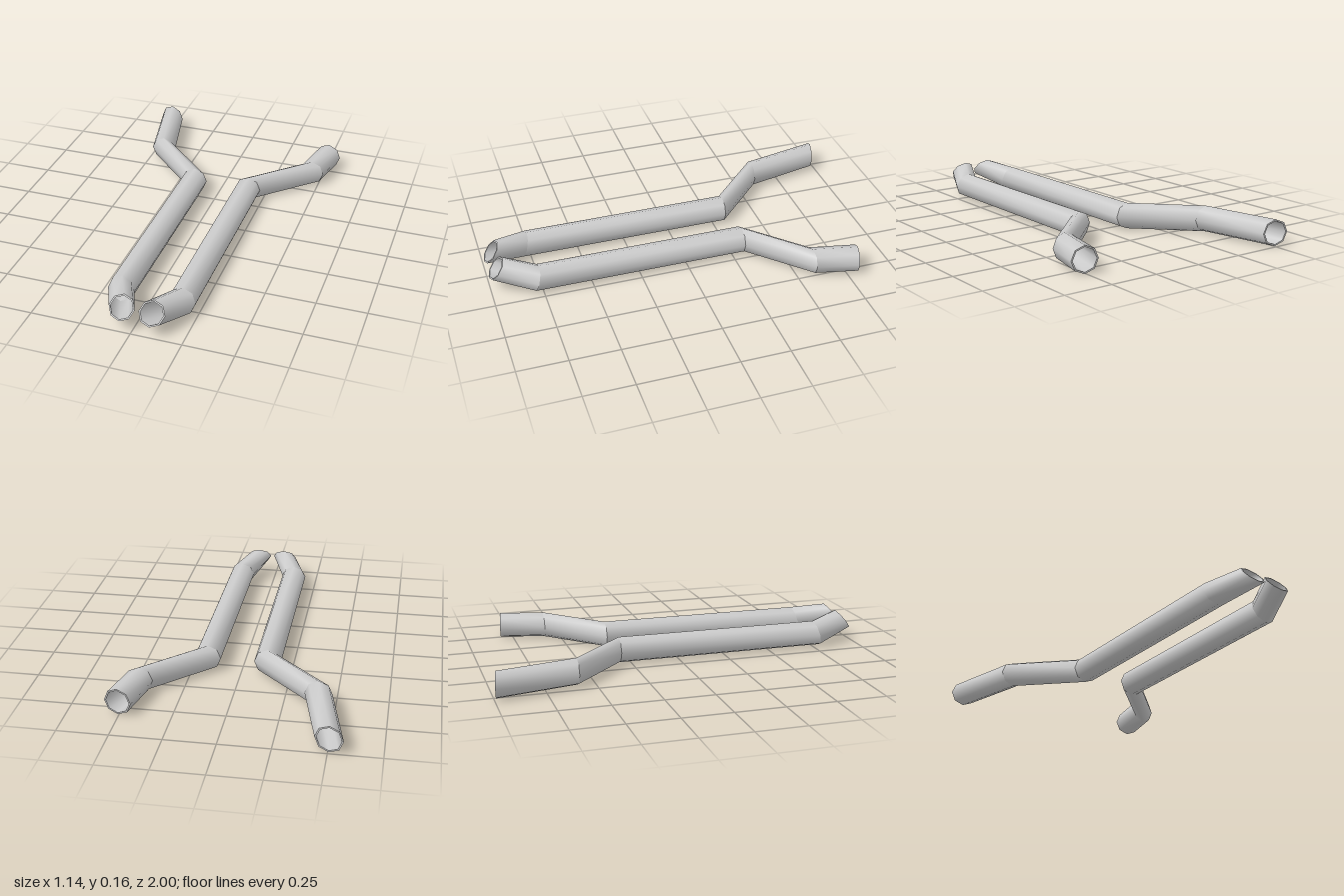
import * as THREE from 'three';

const SIDES = 8;
const RADIUS = 0.067;
const BORE = 0.88; // inner size relative to the outer

// One octagonal ring: centre plus its sideways and upward half-axes
function ring({ at, side = [RADIUS, 0, 0], up = [0, RADIUS, 0] }, scale = 1) {
  return Array.from({ length: SIDES }, (_, j) => {
    const a = (j / SIDES) * Math.PI * 2;
    const c = Math.cos(a) * scale, s = Math.sin(a) * scale;
    return at.map((v, k) => v + side[k] * c + up[k] * s);
  });
}

// Band of faces between two rings, smooth around and creased at its ends
function band(name, a, b, material) {
  const geometry = new THREE.BufferGeometry();
  geometry.setAttribute('position', new THREE.Float32BufferAttribute([...a, ...b].flat(), 3));
  const index = [];
  for (let j = 0; j < SIDES; j++) {
    const n = (j + 1) % SIDES;
    index.push(j, SIDES + j, n, n, SIDES + j, SIDES + n);
  }
  geometry.setIndex(index);
  geometry.computeVertexNormals();
  const mesh = new THREE.Mesh(geometry, material);
  mesh.name = name;
  return mesh;
}

// Hollow pipe through a list of rings running from front to back
function pipe(name, stations, material) {
  const group = new THREE.Group();
  group.name = name;
  const outer = stations.map((s) => ring(s));
  const inner = stations.map((s) => ring(s, BORE));
  const last = stations.length - 1;
  for (let i = 0; i < last; i++) {
    group.add(band('outerWall', outer[i], outer[i + 1], material));
    group.add(band('innerWall', inner[i + 1], inner[i], material));
  }
  group.add(band('frontRim', inner[0], outer[0], material));
  group.add(band('backRim', outer[last], inner[last], material));
  return group;
}

export function createModel() {
  const model = new THREE.Group();
  model.name = 'twinPipes';
  const material = new THREE.MeshStandardMaterial({ color: 0xcccccc });

  // The pipes mirror each other about x = 0.02, except for their back ends
  const middle = 0.02;
  for (const [name, m, backEnd] of [
    ['rightPipe', -1, [-0.505, 0.067, -0.987]],
    ['leftPipe', 1, [0.506, 0.067, -0.812]],
  ]) {
    model.add(pipe(name, [
      { at: [middle + m * 0.073, 0.11, 0.961], side: [0.064, 0, 0], up: [0, 0.05, -0.039] },
      { at: [middle + m * 0.152, 0.067, 0.775], up: [0, 0.066, -0.018] },
      { at: [middle + m * 0.152, 0.067, -0.31] },
      { at: [middle + m * 0.437, 0.067, -0.588] },
      { at: backEnd, side: [0.067, 0, 0.013] },
    ], material));
  }
  return model;
}
